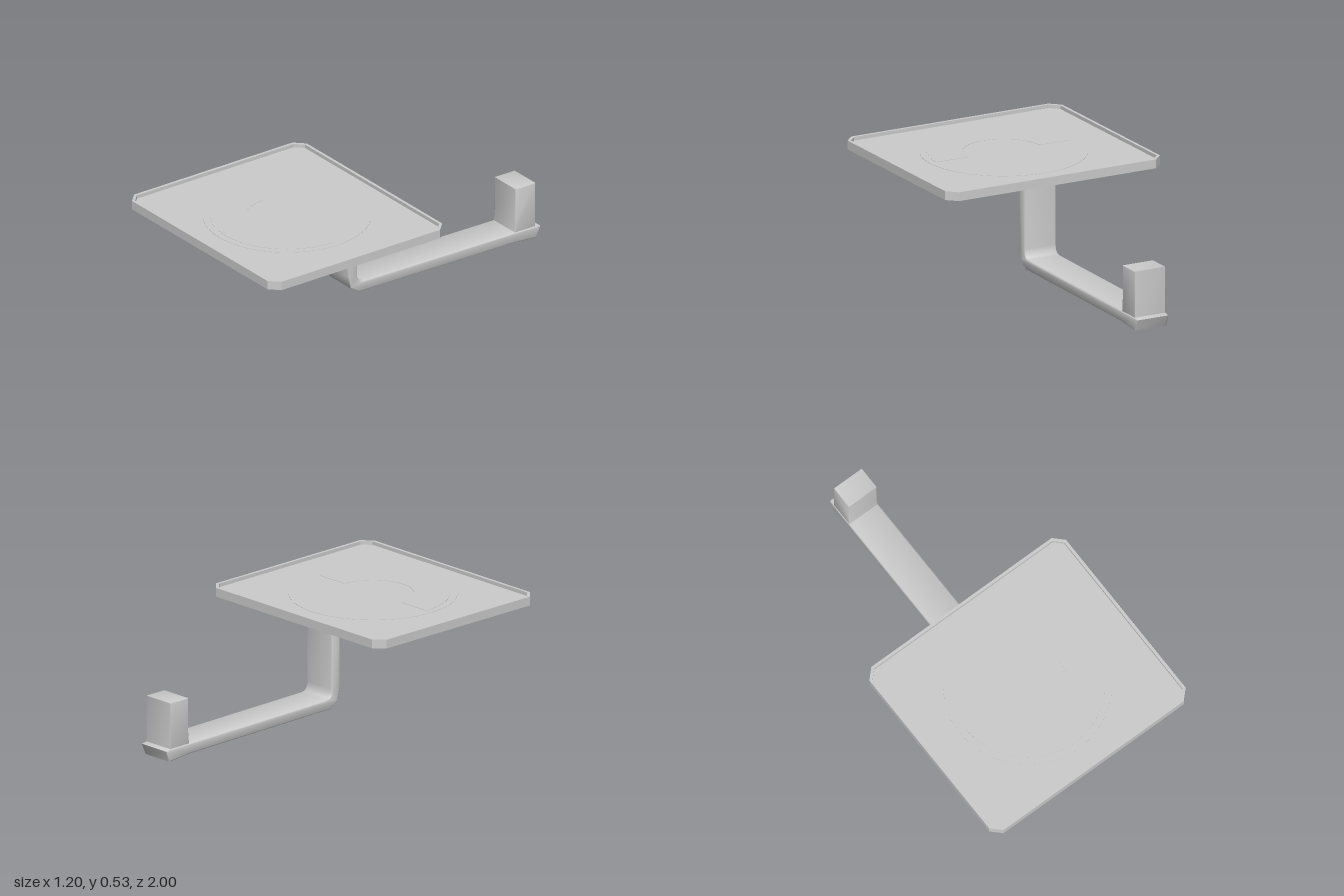
import * as THREE from 'three';
import { toCreasedNormals } from 'three/addons/utils/BufferGeometryUtils.js';

const WIDTH = 1.2, DEPTH = 1.06, CENTER_Z = 0.47;

// Rectangle with cut corners, centred on the origin
function trayOutline(inset) {
  const x = WIDTH / 2 - inset, y = DEPTH / 2 - inset, c = 0.05 - inset * 0.6;
  return [[x - c, -y], [x, -y + c], [x, y - c], [x - c, y], [-x + c, y], [-x, y - c], [-x, -y + c], [-x + c, -y]]
    .map(([a, b]) => new THREE.Vector2(a, b));
}

export function createModel() {
  const group = new THREE.Group();
  const material = new THREE.MeshStandardMaterial({ color: 0xcccccc });

  function add(name, geometry) {
    const mesh = new THREE.Mesh(geometry, material);
    mesh.name = name;
    group.add(mesh);
  }

  // Horizontal slab of a plan shape, from bottom to top
  function slab(name, shape, bottom, top) {
    const geometry = new THREE.ExtrudeGeometry(shape, { depth: top - bottom, bevelEnabled: false, curveSegments: 32 });
    geometry.rotateX(-Math.PI / 2).translate(0, bottom, CENTER_Z);
    add(name, toCreasedNormals(geometry, 0.5));
  }

  // Bar cut from a side profile of [z, y] points, with softened long edges
  function bar(name, points, width, bevel) {
    const shape = new THREE.Shape(points.map(([z, y]) => new THREE.Vector2(z, y)));
    const geometry = new THREE.ExtrudeGeometry(shape, {
      depth: width - 2 * bevel, bevelThickness: bevel, bevelSize: bevel, bevelOffset: -bevel, bevelSegments: 2,
    });
    geometry.translate(0, 0, bevel - width / 2).rotateY(-Math.PI / 2);
    add(name, toCreasedNormals(geometry, 0.85));
  }

  // Tray: floor and raised rim
  slab('trayFloor', new THREE.Shape(trayOutline(0.014)), 0.485, 0.512);
  const rim = new THREE.Shape(trayOutline(0));
  rim.holes.push(new THREE.Path(trayOutline(0.015).reverse()));
  slab('trayRim', rim, 0.485, 0.53);

  // Round pad with a shallow half-ring on its front half
  const disc = new THREE.Shape();
  disc.absarc(0, 0, 0.41, 0, Math.PI * 2);
  slab('roundPad', disc, 0.51, 0.5135);
  const halfRing = new THREE.Shape();
  halfRing.absarc(0, 0, 0.375, Math.PI, Math.PI * 2, false);
  halfRing.absarc(0, 0, 0.2, Math.PI * 2, Math.PI, true);
  slab('halfRing', halfRing, 0.512, 0.515);

  // Bent arm: hangs from the tray, turns and runs backwards
  bar('bentArm', [
    [0.165, 0.49], [0.11, 0.49], [0.11, 0.125], [0.107, 0.1], [0.095, 0.084], [0.07, 0.079],
    [-0.82, 0.069], [-0.96, 0.068], [-1, 0.06], [-0.975, 0.002], [-0.84, 0.014],
    [0.1, 0.025], [0.15, 0.058], [0.165, 0.125],
  ], 0.177, 0.006);

  // Upright post at the end of the arm
  bar('endPost', [[-0.85, 0.3], [-0.97, 0.3], [-0.97, 0.05], [-0.843, 0.05], [-0.85, 0.13]], 0.172, 0.003);

  return group;
}
